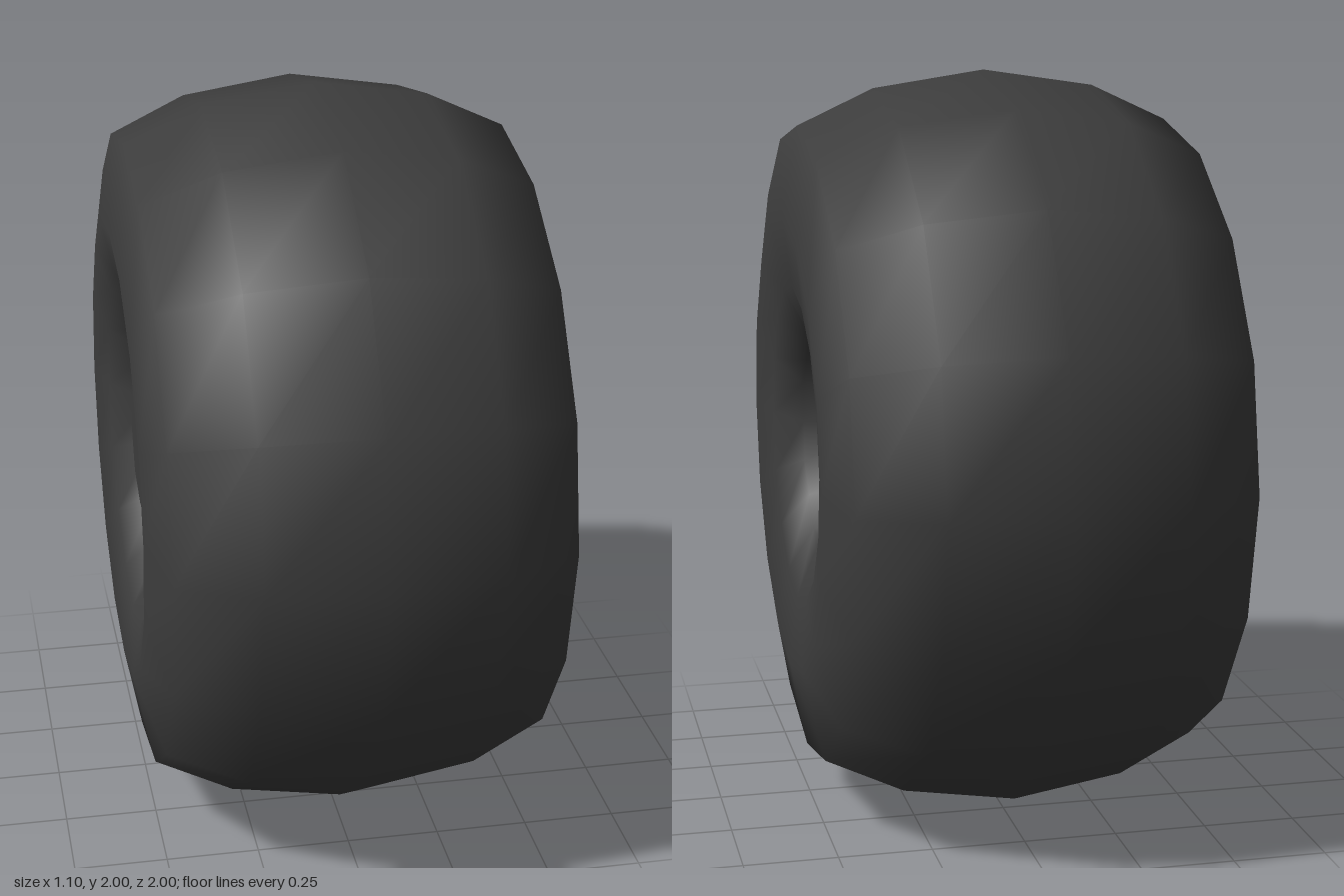
import * as THREE from 'three';
import { mergeVertices } from 'three/addons/utils/BufferGeometryUtils.js';

const SIDES = 16;

// Revolve [x, radius] pairs about the x axis; rings under 0.4 become octagons
function wheelGeometry(profile) {
  const points = profile.map(([x, r]) => new THREE.Vector2(r, x));
  const geo = new THREE.LatheGeometry(points, SIDES);
  const pos = geo.attributes.position;
  const inset = Math.cos(Math.PI / 8);
  for (let i = 0; i < pos.count; i++) {
    const segment = Math.floor(i / profile.length);
    const radius = profile[i % profile.length][1];
    if (radius < 0.4 && segment % 2 === 0) {
      pos.setXYZ(i, pos.getX(i) * inset, pos.getY(i), pos.getZ(i) * inset);
    }
  }
  geo.deleteAttribute('uv');
  geo.deleteAttribute('normal');
  const merged = mergeVertices(geo, 1e-4);
  merged.computeVertexNormals();
  merged.rotateZ(-Math.PI / 2);
  return merged;
}

export function createModel() {
  const group = new THREE.Group();
  group.name = 'wheel';
  const rubber = new THREE.MeshStandardMaterial({ color: 0x3d3d3d });
  rubber.name = 'dark rubber';

  // Tyre with a wide recess on the inner side and a narrower one on the outer side
  const tyre = new THREE.Mesh(wheelGeometry([
    [-0.18, 0], [-0.2, 0.33], [-0.42, 0.37], [-0.52, 0.48],
    [-0.55, 0.62], [-0.505, 0.86], [-0.3, 0.955],
    [0, 1],
    [0.3, 0.955], [0.505, 0.86], [0.55, 0.62],
    [0.525, 0.43], [0.46, 0.295], [0.25, 0.27], [0.22, 0],
  ]), rubber);
  tyre.name = 'tyre';
  tyre.position.y = 1;
  group.add(tyre);

  // Octagonal axle stub inside the inner recess
  const axle = new THREE.Mesh(new THREE.CylinderGeometry(0.17, 0.17, 0.35, 8), rubber);
  axle.name = 'axleStub';
  axle.rotation.z = Math.PI / 2;
  axle.position.set(-0.315, 1, 0);
  group.add(axle);

  return group;
}
